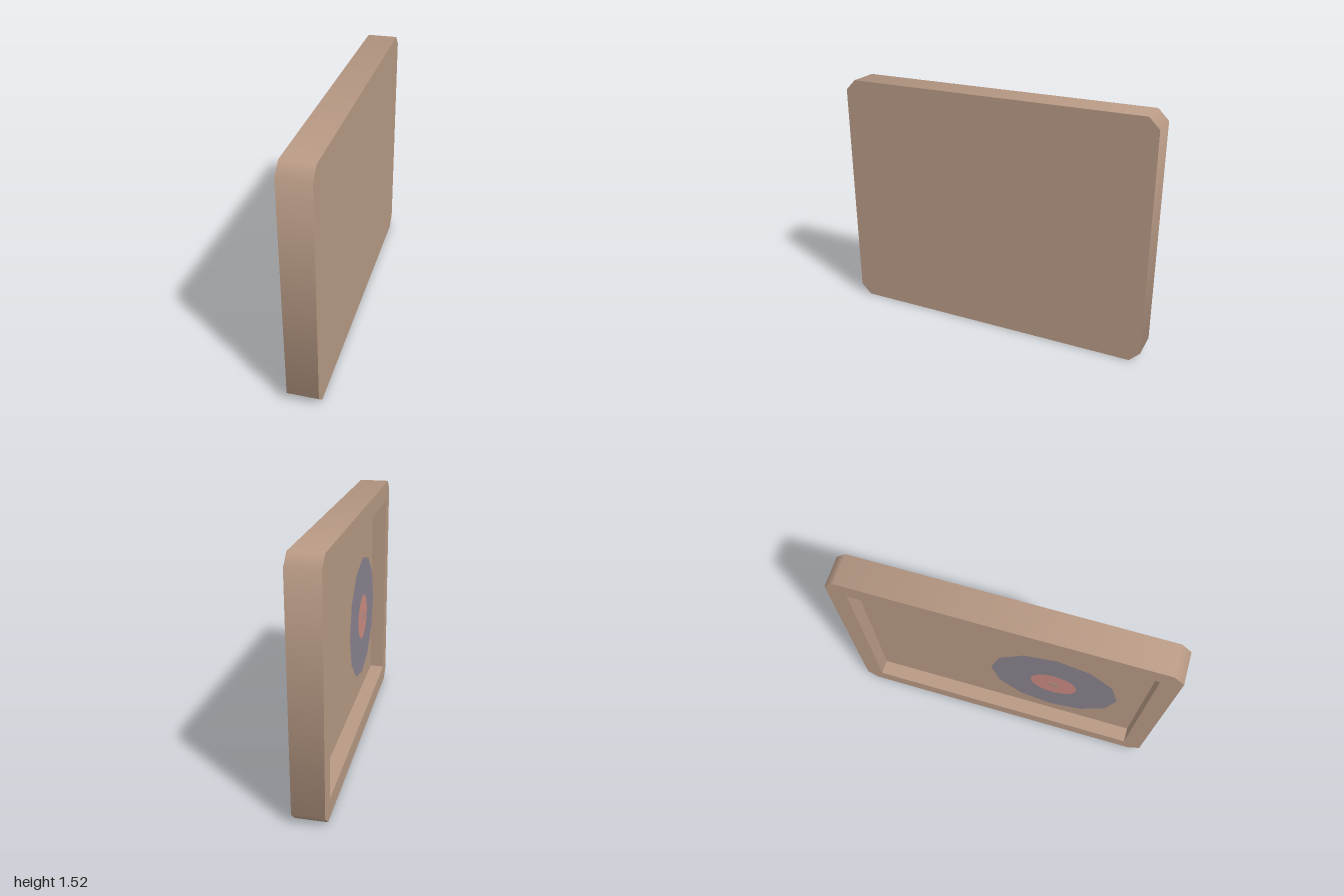
import * as THREE from 'three';

const HALF_W = 1, HALF_H = 0.76, HALF_T = 0.095, CHAMFER = 0.065;
const IN_W = 0.883, IN_H = 0.64; // half size of the recess

export function createModel() {
  const mat = (name, color) => new THREE.MeshStandardMaterial({ name, color });
  const caseTan = mat('caseTan', 0xb89a85);
  const discGrey = mat('discGrey', 0x8a838f);
  discGrey.side = THREE.DoubleSide;
  const labelRed = mat('labelRed', 0xcb8b82);

  // Built with the open side towards local +z, then turned to face -x
  const box = new THREE.Group();
  box.name = 'case';
  const add = (name, geo, material, x = 0, y = 0, z = 0) => {
    const mesh = new THREE.Mesh(geo, material);
    mesh.name = name;
    mesh.position.set(x, y, z);
    box.add(mesh);
    return mesh;
  };

  // Outer edge band: eight corners with soft normals between them
  const band = new THREE.CylinderGeometry(1, 1, HALF_T * 2, 8, 1, true, Math.PI / 8);
  band.rotateX(Math.PI / 2);
  const p = band.attributes.position;
  for (let i = 0; i < p.count; i++) {
    const x = p.getX(i), y = p.getY(i);
    const wide = Math.abs(x) > Math.abs(y);
    p.setXY(i,
      Math.sign(x) * (HALF_W - (wide ? 0 : CHAMFER)),
      Math.sign(y) * (HALF_H - (wide ? CHAMFER : 0)));
  }
  add('outerEdge', band, caseTan);

  // Flat outline with cut corners
  const outline = () => {
    const w = HALF_W, h = HALF_H, c = CHAMFER;
    return new THREE.Shape([
      [w, c - h], [w, h - c], [w - c, h], [c - w, h],
      [-w, h - c], [-w, c - h], [c - w, -h], [w - c, -h],
    ].map(([x, y]) => new THREE.Vector2(x, y)));
  };
  add('backPanel', new THREE.ShapeGeometry(outline()), caseTan, 0, 0, -HALF_T).rotation.y = Math.PI;

  // Rim around the recess
  const rim = outline();
  rim.holes.push(new THREE.Path([
    [-IN_W, -IN_H], [-IN_W, IN_H], [IN_W, IN_H], [IN_W, -IN_H],
  ].map(([x, y]) => new THREE.Vector2(x, y))));
  add('rim', new THREE.ShapeGeometry(rim), caseTan, 0, 0, HALF_T);

  // Recess floor and inner walls
  add('recessFloor', new THREE.PlaneGeometry(IN_W * 2, IN_H * 2), caseTan);
  for (const s of [-1, 1]) {
    add('recessLongWall', new THREE.PlaneGeometry(IN_W * 2, HALF_T), caseTan, 0, s * IN_H, HALF_T / 2)
      .rotation.x = s * Math.PI / 2;
    add('recessShortWall', new THREE.PlaneGeometry(HALF_T, IN_H * 2), caseTan, s * IN_W, 0, HALF_T / 2)
      .rotation.y = -s * Math.PI / 2;
  }

  // Disc with a round label, resting on a small platter
  const cx = 0.325, cy = -0.03, lift = 0.034;
  const platter = new THREE.CylinderGeometry(0.2, 0.2, lift, 24);
  platter.rotateX(Math.PI / 2);
  add('platter', platter, caseTan, cx, cy, lift / 2);
  add('disc', new THREE.RingGeometry(0.032, 0.404, 12), discGrey, cx, cy, lift + 0.003);
  add('discLabel', new THREE.RingGeometry(0.032, 0.146, 36), labelRed, cx, cy, lift + 0.006);

  box.rotation.y = -Math.PI / 2;
  box.position.y = HALF_H;

  const model = new THREE.Group();
  model.name = 'discCase';
  model.add(box);
  return model;
}
